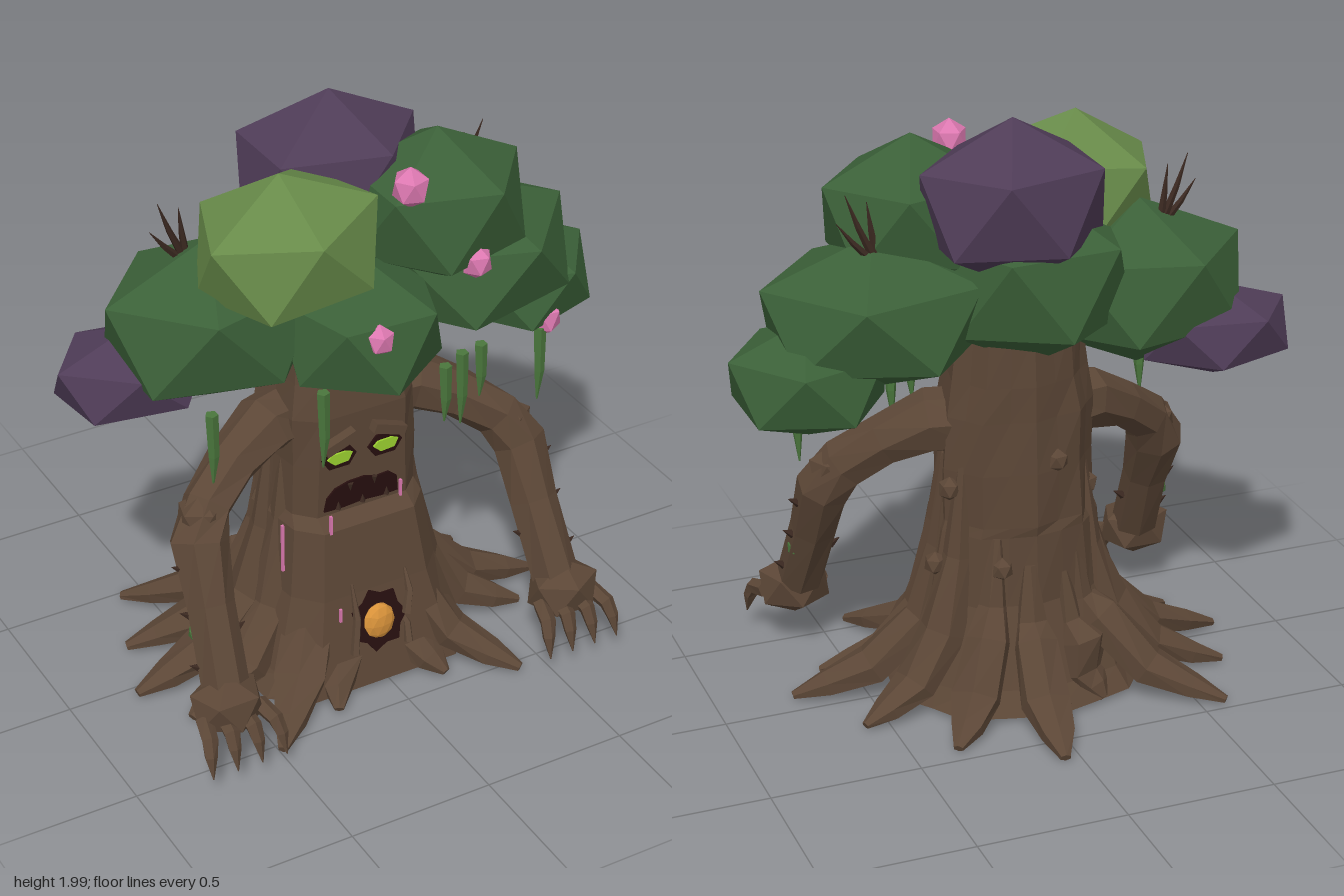
import * as THREE from 'three';

const mat = (name, color) => Object.assign(new THREE.MeshStandardMaterial({ color }), { name });
const V = (x, y, z) => new THREE.Vector3(x, y, z);

export function createModel() {
  const model = new THREE.Group();
  model.name = 'treeCreature';
  const bark = mat('bark brown', 0x5b4636), twig = mat('dark twig', 0x3a2820);
  const leaf = mat('leaf green', 0x3b6038), lightLeaf = mat('light leaf green', 0x678a49);
  const purple = mat('purple foliage', 0x4f3c57), pink = mat('blossom pink', 0xdc78b0);
  const moss = mat('moss green', 0x4a763c), glow = mat('eye green', 0x9bd030);
  const dark = mat('hollow maroon', 0x260e0e), amber = mat('amber', 0xd8923a);

  let seed = 7;
  const rnd = () => { seed = (seed * 16807) % 2147483647; return seed / 2147483647 - 0.5; };

  const add = (name, geo, material, parent = model) => {
    const g = geo.index ? geo.toNonIndexed() : geo;
    g.computeVertexNormals(); // one normal per face
    const m = new THREE.Mesh(g, material);
    m.name = name;
    parent.add(m);
    return m;
  };

  // Closed skin over a list of rings
  const skin = (rings) => {
    const n = rings[0].length, pos = [], idx = [];
    rings.forEach((r) => r.forEach((p) => pos.push(p.x, p.y, p.z)));
    const last = (rings.length - 1) * n;
    for (let i = 0; i < last; i += n) for (let j = 0; j < n; j++) {
      const k = (j + 1) % n;
      idx.push(i + j, i + k, i + n + k, i + j, i + n + k, i + n + j);
    }
    for (let j = 1; j < n - 1; j++) idx.push(0, j + 1, j, last, last + j, last + j + 1);
    const g = new THREE.BufferGeometry();
    g.setAttribute('position', new THREE.Float32BufferAttribute(pos, 3));
    g.setIndex(idx);
    return g;
  };

  // Tapered limb along points, radii are numbers or [u, v]
  const limb = (pts, radii, sides, ref = V(0, 0, 1), rough = 0) => skin(pts.map((p, i) => {
    const t = pts[Math.min(i + 1, pts.length - 1)].clone().sub(pts[Math.max(i - 1, 0)]).normalize();
    const u = t.clone().cross(ref).normalize(), v = t.clone().cross(u);
    const [a, b = a] = [radii[i]].flat();
    return Array.from({ length: sides }, (_, j) => {
      const w = (j / sides) * Math.PI * 2, k = 1 + rnd() * rough;
      return p.clone().addScaledVector(u, Math.cos(w) * a * k).addScaledVector(v, Math.sin(w) * b * k);
    });
  }));

  // Faceted ball with one corner straight up
  const ball = (name, material, [x, y, z], [rx, ry, rz], yaw = 0, parent = model, detail = 0) => {
    const g = new THREE.IcosahedronGeometry(1, detail).rotateZ(0.5536).rotateY(yaw).scale(rx, ry, rz);
    const m = add(name, g, material, parent);
    m.position.set(x, y, z);
    return m;
  };

  // Thin flat plate from outline points
  const plate = (name, material, pts, [x, y, z], tilt = 0) => {
    const s = new THREE.Shape(pts.map((p) => new THREE.Vector2(p[0], p[1])));
    const m = add(name, new THREE.ExtrudeGeometry(s, { depth: 0.007, bevelEnabled: false }), material);
    m.position.set(x, y, z);
    m.rotation.x = tilt;
    return m;
  };

  // Trunk: [y, half width, front z, back z], flattened at the face
  const sections = [[0.03, 0.44, 0.386, 0.36], [0.1, 0.39, 0.37, 0.3], [0.36, 0.305, 0.31, 0.2], [0.6, 0.27, 0.27, 0.185],
    [0.635, 0.26, 0.22, 0.185], [0.82, 0.255, 0.22, 0.18], [1.0, 0.25, 0.22, 0.175], [1.12, 0.23, 0.2, 0.17], [1.3, 0.21, 0.18, 0.16]];
  add('trunk', skin(sections.map(([y, w, f, b]) => Array.from({ length: 18 }, (_, j) => {
    const a = (j / 18) * Math.PI * 2, k = 1 + (j % 2 ? 0.03 : -0.03) + rnd() * 0.06, c = Math.cos(a);
    return V(-0.02 + Math.sin(a) * w * k, y, c > 0 ? Math.min(c * f * 1.42 * k, f) : c * b * k);
  }))), bark);

  // Roots: [tip x, tip z, top height on the trunk]
  const roots = [[-0.57, -0.47, 0.55], [0.07, -0.63, 0.5], [0.37, -0.45, 0.6], [-0.48, 0.54, 0.85], [0.42, 0.55, 0.85],
    [-0.76, 0.05, 0.85], [0.76, 0.08, 0.85], [-0.66, 0.25, 0.95], [0.62, 0.22, 0.95], [0.6, -0.2, 0.85], [-0.68, -0.2, 0.8],
    [-0.2, -0.31, 0.45], [-0.22, 0.45, 0.2], [0.19, 0.45, 0.2]];
  roots.forEach(([x, z, top]) => {
    const L = Math.hypot(x, z), d = V(x / L, 0, z / L), R = 0.25 - 0.05 * Math.abs(d.z);
    const at = (r, y) => V(d.x * r - 0.015, y, d.z * r);
    const pts = [at(R * 0.95, top), at(R + 0.015, top * 0.62), at(R + 0.07, Math.min(0.27, top * 0.5)),
      at(R + (L - R) * 0.48, 0.11), at(R + (L - R) * 0.78, 0.06), at(L, 0.028)];
    add('root', limb(pts, [[0.012, 0.02], [0.04, 0.05], [0.075, 0.085], [0.06, 0.09], [0.038, 0.055], [0.013, 0.018]],
      6, V(-d.z, 0, d.x), 0.25), bark);
  });

  // Bark knots
  [[0.235, 0.76, -0.06], [0.28, 0.49, -0.04], [-0.25, 0.7, -0.05], [-0.1, 0.85, -0.16], [0.1, 0.5, -0.18]]
    .forEach((p, i) => ball('barkKnot', bark, p, [0.04, 0.042, 0.04], i));

  // Arms with hands, claws and thorns, mirrored
  [-1, 1].forEach((s) => {
    const arm = new THREE.Group();
    arm.name = s < 0 ? 'rightArm' : 'leftArm';
    arm.position.x = -0.025;
    model.add(arm);
    const P = (x, y, z) => V(s * x, y, z);
    add('armLimb', limb([P(0.13, 0.95, 0.03), P(0.28, 0.955, 0.07), P(0.42, 0.885, 0.12), P(0.54, 0.8, 0.18), P(0.595, 0.7, 0.225),
      P(0.605, 0.52, 0.32), P(0.625, 0.28, 0.44)], [0.11, 0.105, 0.085, 0.085, 0.095, 0.082, 0.085], 7, V(0, 0, 1), 0.15), bark, arm);
    ball('elbowKnot', bark, [s * 0.57, 0.77, 0.2], [0.09, 0.09, 0.08], 0.4, arm);
    ball('hand', bark, [s * 0.635, 0.24, 0.475], [0.135, 0.11, 0.115], s * 0.3, arm);
    [-0.1, -0.035, 0.03, 0.095].forEach((f) => {
      const x = 0.635 + f;
      add('clawFinger', limb([P(x, 0.22, 0.5), P(x + f * 0.2, 0.2, 0.575), P(x + f * 0.3, 0.155, 0.6), P(x + f * 0.35, 0.085, 0.625)],
        [0.03, 0.028, 0.022, 0.002], 5, V(1, 0, 0)), bark, arm);
    });
    [[0.675, 0.64, 0.26, 1], [0.68, 0.5, 0.32, 1], [0.54, 0.42, 0.36, -1], [0.69, 0.35, 0.4, 1]].forEach(([x, y, z, o]) =>
      add('armThorn', limb([P(x, y, z), P(x + o * 0.035, y + 0.02, z)], [0.016, 0.001], 5), twig, arm));
    ball('mossPatch', moss, [s * 0.675, 0.44, 0.34], [0.02, 0.03, 0.03], 0, arm);

    // Bare twigs poking through the leaves
    [[0.58, 1.79], [0.61, 1.7], [0.51, 1.76]].forEach(([x, y]) =>
      add('bareTwig', limb([P(0.48, 1.55, -0.03), P(0.48 + (x - 0.48) * 0.6, 1.55 + (y - 1.55) * 0.55, -0.025), P(x, y, -0.02)],
        [0.016, 0.01, 0.001], 5), twig, arm));
  });

  // Face: sockets, eyes, brows
  [-1, 1].forEach((s) => {
    const x = -0.025 + s * 0.085;
    plate('eyeSocket', dark, [[-0.064, 0], [-0.037, -0.04], [0.037, -0.04], [0.064, 0], [0.037, 0.037], [-0.032, 0.037]], [x, 0.853, 0.22]);
    plate('eye', glow, [[-0.047, 0], [-0.02, -0.024], [0.03, -0.02], [0.045, 0.008], [0.02, 0.018], [-0.03, 0.016]], [x, 0.855, 0.228]);
    const brow = add('brow', new THREE.BoxGeometry(0.12, 0.034, 0.05), bark);
    brow.position.set(x + s * 0.005, 0.918, 0.23);
    brow.rotation.z = -s * 0.35;
  });

  // Mouth with ragged teeth
  plate('mouth', dark, [[-0.14, -0.048], [-0.07, -0.05], [0, -0.045], [0.07, -0.05], [0.135, -0.048], [0.13, 0.01], [0.1, 0.035],
    [0.05, 0.032], [0.01, 0.046], [-0.05, 0.044], [-0.1, 0.03], [-0.13, 0]], [-0.025, 0.702, 0.22]);
  for (let i = 0; i < 5; i++) {
    const tooth = add('tooth', new THREE.ConeGeometry(0.011, 0.03, 4), twig);
    tooth.position.set(-0.115 + i * 0.045, i % 2 ? 0.725 : 0.67, 0.23);
    if (i % 2) tooth.rotation.z = Math.PI;
  }

  // Glowing hollow in the belly
  plate('hollow', dark, Array.from({ length: 14 }, (_, i) => {
    const a = (i / 14) * Math.PI * 2, r = i % 2 ? 0.092 : 0.115;
    return [Math.cos(a) * r * 0.92, Math.sin(a) * r];
  }), [-0.025, 0.25, 0.338], -0.227);
  ball('amberCore', amber, [-0.025, 0.24, 0.338], [0.06, 0.072, 0.035], 0, model, 1);
  [[-0.13, 0.16, -0.11, 0.4], [0.075, 0.14, 0.065, 0.26], [0.065, 0.26, 0.09, 0.4]].forEach(([x0, y0, x1, y1]) =>
    add('hollowTwig', limb([V(x0, y0, 0.37), V((x0 + x1) / 2 + 0.012, (y0 + y1) / 2, 0.345), V(x1, y1, 0.31)], [0.016, 0.014, 0.005], 5), bark));

  // Pink sap streaks
  [[-0.165, 0.63, 0.27, 0.07], [0.12, 0.655, 0.226, 0.07], [-0.295, 0.53, 0.18, 0.18], [-0.165, 0.31, 0.335, 0.05]].forEach(([x, y, z, h]) =>
    add('sapStreak', new THREE.BoxGeometry(0.009, h, 0.009), pink).position.set(x, y, z));

  // Canopy: [material, centre, radii, yaw, roll]
  [
    [lightLeaf, [-0.275, 1.66, 0.19], [0.335, 0.255, 0.295], 0.3, 0.1],
    [leaf, [0.28, 1.645, 0.15], [0.33, 0.265, 0.295], 3.14, 0],
    [purple, [0.025, 1.725, -0.085], [0.345, 0.275, 0.28], 3.14, 0],
    [leaf, [-0.45, 1.365, 0.01], [0.4, 0.285, 0.325], 0.0, 0],
    [leaf, [0.45, 1.375, 0.03], [0.415, 0.255, 0.375], 3.1, 0],
    [leaf, [0.69, 1.2, -0.01], [0.285, 0.195, 0.285], 3.14, 0],
    [leaf, [-0.04, 1.33, 0.23], [0.295, 0.25, 0.3], 0.9, 0],
    [purple, [-0.69, 1.195, -0.075], [0.29, 0.16, 0.225], 0.1, 0],
    [leaf, [-0.06, 1.45, -0.04], [0.36, 0.3, 0.325], 0.4, 0],
  ].forEach(([m, c, r, yaw, roll]) => { ball('foliage', m, c, r, yaw).rotation.z = roll; });

  // Blossoms
  [[0.09, 1.82, 0.31, 0.07], [0.3, 1.53, 0.365, 0.06], [-0.09, 1.4, 0.44, 0.055], [0.69, 1.12, 0.175, 0.07]].forEach(([x, y, z, r], i) =>
    ball('blossom', pink, [x, y, z], [r * 0.9, r, r * 0.9], i * 0.7));

  // Hanging moss: [x, top y, z, length]
  [[-0.55, 1.14, 0.2, 0.26], [-0.21, 1.17, 0.3, 0.28], [0.23, 1.14, 0.31, 0.21], [0.31, 1.15, 0.28, 0.27],
    [0.4, 1.14, 0.25, 0.2], [0.66, 1.1, 0.2, 0.28]].forEach(([x, y, z, h]) =>
    add('hangingMoss', limb([V(x, y, z), V(x + 0.004, y - h * 0.6, z), V(x, y - h, z)], [0.022, 0.018, 0.003], 5), moss));

  return model;
}
